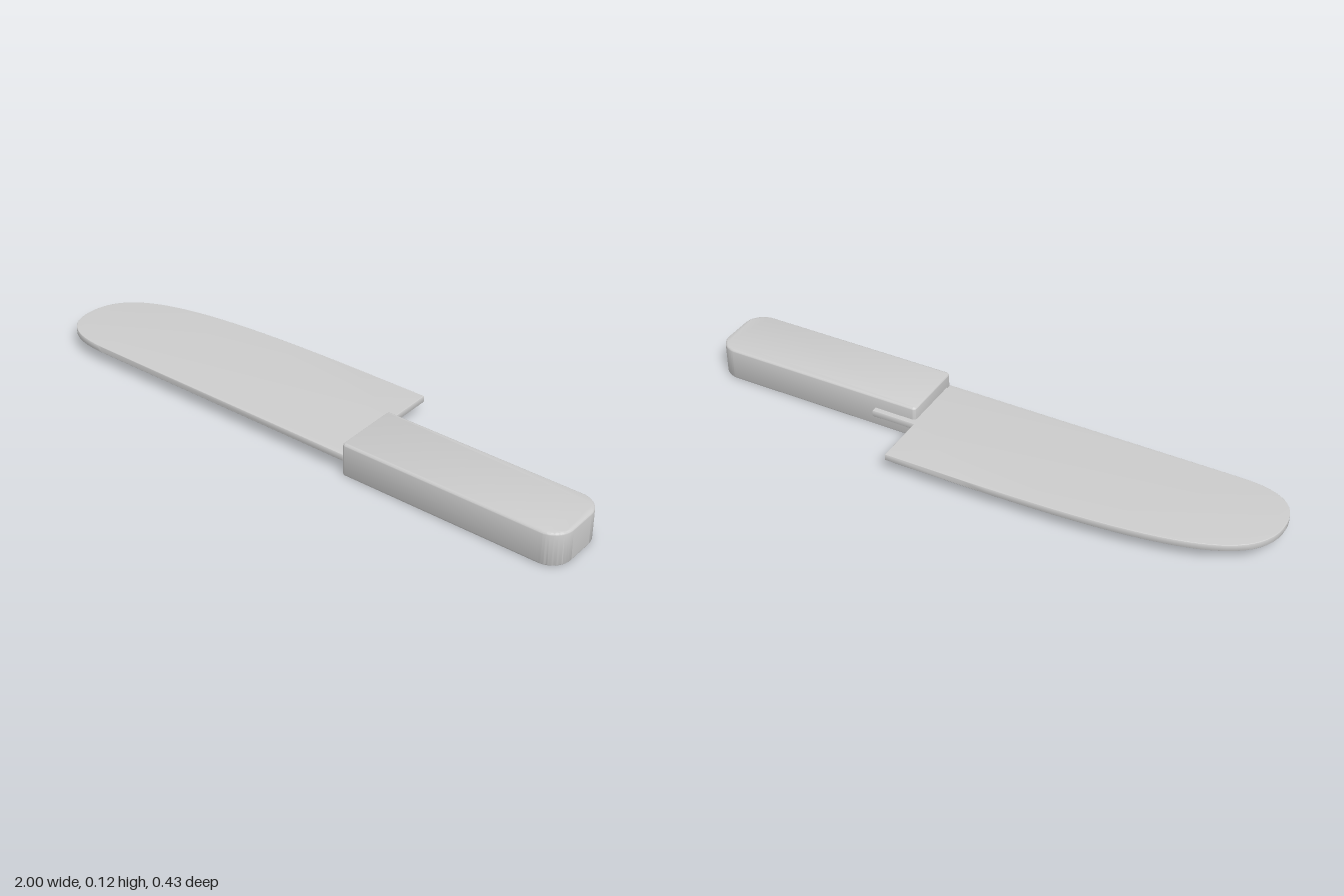
import * as THREE from 'three';
import { toCreasedNormals } from 'three/addons/utils/BufferGeometryUtils.js';

const material = new THREE.MeshStandardMaterial({ color: 0xcccccc });

// Extrudes a plan outline (x, -z) upwards from y0 to y1, with rounded rims inside that height
function slab(name, shape, y0, y1, bevel) {
  const geometry = new THREE.ExtrudeGeometry(shape, {
    depth: y1 - y0 - 2 * bevel,
    bevelEnabled: bevel > 0,
    bevelSize: bevel,
    bevelThickness: bevel,
    bevelOffset: -bevel,
    bevelSegments: 4,
    curveSegments: 24,
  });
  geometry.rotateX(-Math.PI / 2);
  geometry.translate(0, y0 + bevel, 0);
  const mesh = new THREE.Mesh(toCreasedNormals(geometry, 0.6), material);
  mesh.name = name;
  return mesh;
}

// Blade with a bellied edge, a rounded tip and a straight spine, plus its tang
function bladeShape() {
  const s = new THREE.Shape();
  s.moveTo(-0.8, -0.204);
  s.lineTo(0.228, -0.208);
  s.lineTo(0.228, -0.19);
  s.lineTo(0.38, -0.19);
  s.lineTo(0.38, 0.036);
  s.lineTo(0.225, 0.036);
  s.lineTo(0.225, 0.217);
  s.lineTo(-0.05, 0.216);
  s.bezierCurveTo(-0.72, 0.21, -1, 0.15, -1, -0.06);
  s.bezierCurveTo(-1, -0.16, -0.93, -0.203, -0.8, -0.204);
  return s;
}

// Handle outline: nearly square at the blade, generously rounded at the butt
function handleShape() {
  const [x0, x1, y0, y1, r, q] = [0.23, 1, -0.215, 0.018, 0.07, 0.012];
  const s = new THREE.Shape();
  s.moveTo(x0 + q, y0);
  s.lineTo(x1 - r, y0);
  s.absarc(x1 - r, y0 + r, r, -Math.PI / 2, 0);
  s.lineTo(x1, y1 - r);
  s.absarc(x1 - r, y1 - r, r, 0, Math.PI / 2);
  s.lineTo(x0 + q, y1);
  s.absarc(x0 + q, y1 - q, q, Math.PI / 2, Math.PI);
  s.lineTo(x0, y0 + q);
  s.absarc(x0 + q, y0 + q, q, Math.PI, Math.PI * 1.5);
  return s;
}

export function createModel() {
  const knife = new THREE.Group();
  knife.name = 'knife';
  knife.add(slab('blade', bladeShape(), 0.047, 0.07, 0.002));
  knife.add(slab('handle', handleShape(), 0, 0.115, 0.008));
  return knife;
}
